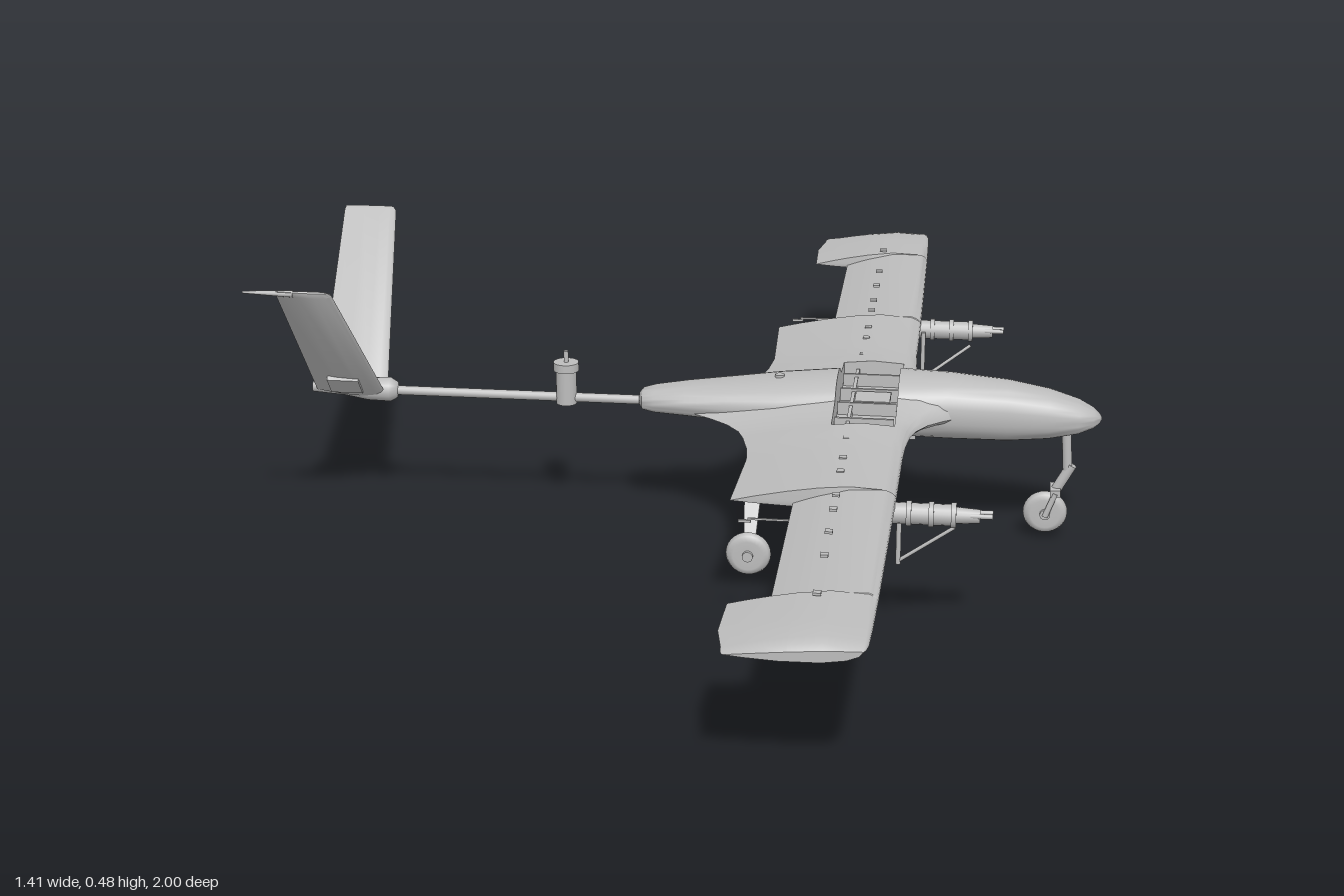
import * as THREE from 'three';
import { toCreasedNormals } from 'three/addons/utils/BufferGeometryUtils.js';

const grey = new THREE.MeshStandardMaterial({ color: 0xbdbdbd, side: THREE.DoubleSide });
grey.name = 'light grey';

const V = (x, y, z) => new THREE.Vector3(x, y, z);

function add(parent, name, geometry, x = 0, y = 0, z = 0) {
  const m = new THREE.Mesh(geometry, grey);
  m.name = name;
  m.position.set(x, y, z);
  parent.add(m);
  return m;
}

const box = (p, name, w, h, d, x, y, z) => add(p, name, new THREE.BoxGeometry(w, h, d), x, y, z);

// Cylinder from point a to point b, tapering from ra to rb
function rod(parent, name, a, b, ra, rb = ra, sides = 16) {
  const m = add(parent, name, new THREE.CylinderGeometry(rb, ra, a.distanceTo(b), sides));
  m.position.copy(a).lerp(b, 0.5);
  m.quaternion.setFromUnitVectors(V(0, 1, 0), b.clone().sub(a).normalize());
  return m;
}

// Skin through closed rings of equal length, with capped ends
function loft(rings, crease = 0.7) {
  const n = rings[0].length, pts = rings.flat(), idx = [];
  for (let i = 0; i < rings.length - 1; i++) {
    for (let j = 0; j < n; j++) {
      const a = i * n + j, b = i * n + (j + 1) % n;
      idx.push(a, b, b + n, a, b + n, a + n);
    }
  }
  [0, rings.length - 1].forEach((r, e) => {
    const c = pts.length;
    pts.push(rings[r].reduce((s, p) => s.add(p), V(0, 0, 0)).divideScalar(n));
    for (let j = 0; j < n; j++) {
      const a = r * n + j, b = r * n + (j + 1) % n;
      idx.push(...(e ? [a, b, c] : [b, a, c]));
    }
  });
  // Turn the faces outward if the enclosed volume is negative
  let volume = 0;
  for (let i = 0; i < idx.length; i += 3) {
    volume += pts[idx[i]].dot(pts[idx[i + 1]].clone().cross(pts[idx[i + 2]]));
  }
  if (volume < 0) idx.reverse();
  const g = new THREE.BufferGeometry().setFromPoints(pts);
  g.setIndex(idx);
  return toCreasedNormals(g, crease);
}

const foil = s => 2.97 * Math.sqrt(s) - 1.26 * s - 3.52 * s * s + 2.84 * s ** 3 - 1.03 * s ** 4;

// Airfoil section at z, with the equipment bay cut into the top when bay is true
function wingRing(z, le, te, up, bay) {
  const mix = THREE.MathUtils.lerp, ring = [];
  const y = (x, k) => {
    const s = THREE.MathUtils.clamp((le - x) / (le - te), 0, 1);
    return 0.236 - 0.014 * s + k * foil(s);
  };
  const top = x => ring.push(V(x, y(x, up), z));
  for (const t of [0, 0.3, 0.65, 1]) top(mix(te, 0.26, t));
  for (const x of [0.261, 0.31, 0.364]) ring.push(V(x, bay ? 0.228 : y(x, up), z));
  for (const t of [0, 0.4, 0.75, 0.93, 1]) top(mix(0.365, le, t));
  for (const s of [0.03, 0.12, 0.3, 0.6, 0.85]) {
    const x = mix(le, te, s);
    ring.push(V(x, y(x, -0.015), z));
  }
  return ring;
}

export function createModel() {
  const model = new THREE.Group();
  model.name = 'unmannedAircraft';

  // Blended wing: z, leading edge, trailing edge, upper thickness, bay
  const half = [
    [0, 0.48, 0, 0.045, 1], [0.05, 0.475, 0.02, 0.043, 1], [0.07, 0.445, 0.05, 0.039, 1],
    [0.095, 0.418, 0.08, 0.034, 1], [0.125, 0.4, 0.102, 0.029, 1], [0.155, 0.391, 0.113, 0.027, 1],
    [0.156, 0.391, 0.113, 0.027, 0], [0.2, 0.386, 0.123, 0.024, 0], [0.25, 0.384, 0.128, 0.022, 0],
    [0.43, 0.383, 0.12, 0.022, 0], [0.431, 0.383, 0.22, 0.021, 0], [0.825, 0.378, 0.22, 0.019, 0],
    [0.826, 0.378, 0.158, 0.019, 0], [0.92, 0.376, 0.155, 0.018, 0], [0.975, 0.374, 0.165, 0.016, 0],
    [0.992, 0.371, 0.166, 0.012, 0], [1, 0.367, 0.17, 0.003, 0],
  ];
  const mirrored = half.slice(1).reverse().map(([z, ...r]) => [-z, ...r]);
  add(model, 'wing', loft([...mirrored, ...half].map(r => wingRing(...r))));

  // Fuselage: x, half width, top, bottom
  const hull = [
    [-0.082, 0.01, 0.24, 0.218], [-0.076, 0.025, 0.247, 0.212], [-0.055, 0.036, 0.252, 0.209],
    [0, 0.047, 0.26, 0.207], [0.07, 0.06, 0.268, 0.204], [0.16, 0.073, 0.279, 0.2],
    [0.26, 0.078, 0.289, 0.195], [0.261, 0.078, 0.229, 0.195], [0.364, 0.074, 0.229, 0.19],
    [0.365, 0.074, 0.295, 0.19], [0.45, 0.063, 0.294, 0.186], [0.55, 0.053, 0.286, 0.185],
    [0.62, 0.046, 0.273, 0.191], [0.67, 0.036, 0.257, 0.201], [0.695, 0.023, 0.244, 0.211],
    [0.705, 0.012, 0.235, 0.219], [0.709, 0.003, 0.229, 0.225],
  ];
  add(model, 'fuselage', loft(hull.map(([x, w, t, b]) => Array.from({ length: 32 }, (_, i) => {
    const a = i / 32 * Math.PI * 2, c = Math.cos(a), s = Math.sin(a);
    const soft = v => Math.sign(v) * Math.abs(v) ** 0.85;
    return V(x, (t + b) / 2 + soft(s) * (t - b) / 2, soft(c) * w);
  }))));

  // Equipment bay frames and belly box
  for (const z of [-0.11, -0.035, 0.035, 0.11]) {
    box(model, 'bayRib', 0.1, 0.022, 0.005, 0.312, 0.239, z);
  }
  box(model, 'bayBeam', 0.006, 0.018, 0.3, 0.285, 0.236, 0);
  box(model, 'bayEquipment', 0.06, 0.022, 0.05, 0.32, 0.238, 0);
  box(model, 'bellyBox', 0.08, 0.055, 0.14, 0.32, 0.182, 0);
  box(model, 'bellyBracket', 0.035, 0.02, 0.07, 0.378, 0.197, 0);
  add(model, 'topPort', new THREE.CylinderGeometry(0.008, 0.008, 0.006, 16), 0.16, 0.28, 0);

  // Tail boom, mid-boom sensor and tail fairing
  rod(model, 'tailBoom', V(-0.6, 0.225, 0), V(-0.05, 0.226, 0), 0.008);
  rod(model, 'boomSensor', V(-0.21, 0.215, 0), V(-0.21, 0.275, 0), 0.018);
  rod(model, 'sensorCap', V(-0.21, 0.275, 0), V(-0.21, 0.29, 0), 0.022);
  rod(model, 'sensorAntenna', V(-0.21, 0.29, 0), V(-0.21, 0.31, 0), 0.004);
  const fairing = [[0, -0.66], [0.009, -0.658], [0.013, -0.6], [0.02, -0.56], [0.021, -0.52], [0.014, -0.508], [0, -0.505]];
  add(model, 'tailFairing', new THREE.LatheGeometry(fairing.map(p => new THREE.Vector2(...p)), 20), 0, 0.226, 0)
    .rotation.z = -Math.PI / 2;

  // V tail: tapered panels, each leaning outward
  const finRing = (y, le, te, t) => [0, 0.03, 0.12, 0.3, 0.6, 1, 0.6, 0.3, 0.12, 0.03].map((s, i) =>
    V(THREE.MathUtils.lerp(le, te, s), y, (i > 5 ? -1 : 1) * t * foil(s)));
  for (const side of [1, -1]) {
    const fin = new THREE.Group();
    fin.name = side > 0 ? 'leftTailFin' : 'rightTailFin';
    fin.position.set(0, 0.225, side * 0.012);
    fin.rotation.x = side * 0.755;
    add(fin, 'finPanel', loft([
      finRing(0, -0.528, -0.648, 0.009), finRing(0.345, -0.556, -0.65, 0.007), finRing(0.353, -0.562, -0.648, 0.002),
    ]));
    box(fin, 'finActuator', 0.055, 0.045, 0.008, -0.59, 0.04, side * 0.009);
    if (side > 0) rod(fin, 'finProbe', V(-0.62, 0.347, 0), V(-0.705, 0.347, 0), 0.006, 0.002, 10);
    model.add(fin);
  }

  // Wheel with a rounded tyre and hub
  const tyre = [[0, -0.011], [0.025, -0.013], [0.034, -0.009], [0.038, 0], [0.034, 0.009], [0.025, 0.013], [0, 0.011]];
  const wheel = (name, x, y, z) => {
    add(model, name, new THREE.LatheGeometry(tyre.map(p => new THREE.Vector2(...p)), 28), x, y, z).rotation.x = Math.PI / 2;
    rod(model, name + 'Hub', V(x, y, z - 0.018), V(x, y, z + 0.018), 0.009);
  };

  // Main landing gear: flat sprung legs
  for (const side of [1, -1]) {
    const legRing = (w, y, z) => [[-w, -1], [w, -1], [w, 1], [-w, 1]].map(([x, k]) =>
      V(0.13 + x, y + k * 0.003, side * (z + k * 0.003)));
    add(model, 'mainGearLeg', loft([legRing(0.017, 0.212, 0.055), legRing(0.014, 0.12, 0.152), legRing(0.009, 0.045, 0.212)]));
    wheel('mainWheel', 0.13, 0.044, side * 0.224);
  }

  // Nose gear: angled strut, trailing arm and fork
  rod(model, 'noseStrut', V(0.65, 0.21, 0), V(0.655, 0.13, 0), 0.008);
  rod(model, 'noseArm', V(0.662, 0.14, 0), V(0.635, 0.09, 0), 0.009);
  box(model, 'forkBridge', 0.018, 0.012, 0.042, 0.636, 0.093, 0);
  for (const z of [-0.018, 0.018]) rod(model, 'noseFork', V(0.636, 0.093, z), V(0.62, 0.05, z), 0.005);
  wheel('noseWheel', 0.62, 0.052, 0);

  // Lift motor pods under the leading edge, with props and small fittings
  for (const side of [1, -1]) {
    const pod = new THREE.Group();
    pod.name = 'wingPod';
    pod.position.set(0, 0.222, side * 0.45);
    rod(pod, 'podBody', V(0.34, 0, 0), V(0.47, 0, 0), 0.017);
    rod(pod, 'podNose', V(0.47, 0, 0), V(0.515, 0, 0), 0.014, 0.011);
    for (const z of [-0.008, 0.008]) rod(pod, 'podTip', V(0.5, 0.003, z), V(0.535, 0.003, z), 0.004);
    for (const x of [0.4, 0.435, 0.47]) rod(pod, 'podRing', V(x, 0, 0), V(x + 0.008, 0, 0), 0.02);
    box(pod, 'podMount', 0.06, 0.02, 0.02, 0.35, 0.005, 0);
    rod(pod, 'podLeg', V(0.388, 0, side * -0.02), V(0.388, -0.095, side * -0.02), 0.004);
    rod(pod, 'podBrace', V(0.388, -0.09, side * -0.02), V(0.475, -0.025, side * -0.01), 0.003);
    model.add(pod);
    box(model, 'controlHorn', 0.02, 0.004, 0.004, 0.15, 0.215, side * 0.495);
    box(model, 'hornArm', 0.08, 0.003, 0.003, 0.195, 0.219, side * 0.495);
    for (const z of [0.21, 0.3, 0.36, 0.46, 0.52, 0.61, 0.7, 0.84]) {
      box(model, 'wingHatch', 0.012, 0.004, 0.012, 0.29, 0.252, side * z);
    }
  }
  return model;
}
